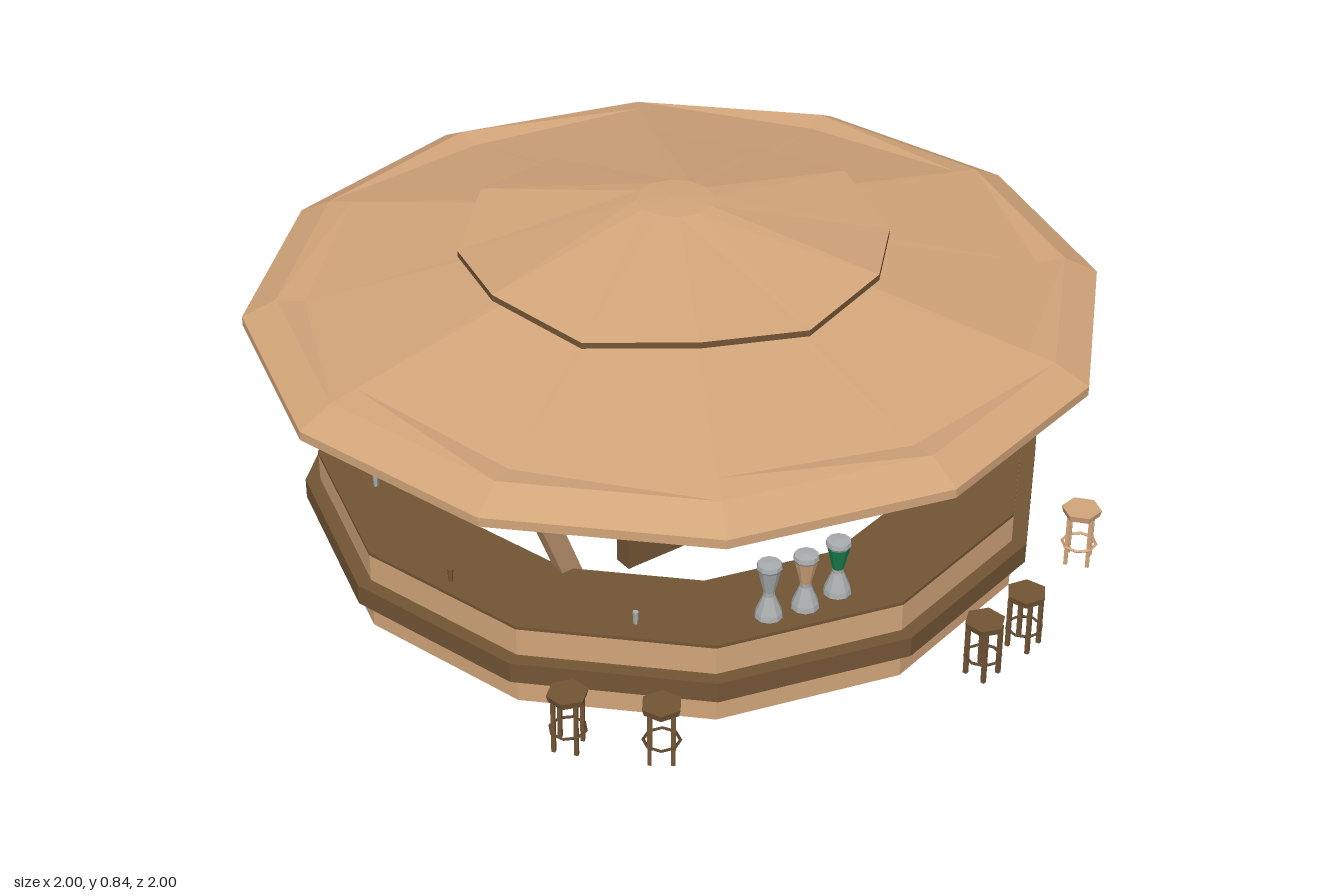
import * as THREE from 'three';

export function createModel() {
  const model = new THREE.Group();
  const mat = (name, color) => {
    const m = new THREE.MeshStandardMaterial({ color, flatShading: true });
    m.name = name;
    return m;
  };
  const tan = mat('tan wood', 0xd2a57a);
  const brown = mat('brown wood', 0x735535);
  const dark = mat('dark wood', 0x5c452c);
  const grey = mat('grey metal', 0xa9adad);
  const green = mat('green glass', 0x17804e);
  const white = mat('pale glass', 0xd8d6cc);

  const add = (name, geo, material, x = 0, y = 0, z = 0, parent = model) => {
    const m = new THREE.Mesh(geo, material);
    m.name = name;
    m.position.set(x, y, z);
    parent.add(m);
    return m;
  };
  const box = (w, h, d) => new THREE.BoxGeometry(w, h, d);
  const lathe = (pts, n) => new THREE.LatheGeometry(pts.map(p => new THREE.Vector2(...p)), n);

  // Beam between two points
  const beam = (name, a, b, w, material) => {
    const dir = b.clone().sub(a);
    const m = add(name, box(w, dir.length(), w), material);
    m.position.copy(a).add(b).multiplyScalar(0.5);
    m.quaternion.setFromUnitVectors(new THREE.Vector3(0, 1, 0), dir.normalize());
  };

  // Twelve-sided ring, open at the back; "over" pushes both ends out
  const openRing = (r0, r1, y0, y1, over = 0) => {
    const outer = [], inner = [];
    for (let i = 0; i <= 10; i++) {
      const a = THREE.MathUtils.degToRad(-60 + i * 30);
      const push = i === 0 ? -over : i === 10 ? over : 0;
      const at = r => new THREE.Vector2(r * Math.cos(a) - push * Math.sin(a), -(r * Math.sin(a) + push * Math.cos(a)));
      outer.push(at(r1));
      inner.unshift(at(r0));
    }
    const g = new THREE.ExtrudeGeometry(new THREE.Shape([...outer, ...inner]), { depth: y1 - y0, bevelEnabled: false });
    return g.rotateX(-Math.PI / 2).translate(0, y0, 0);
  };

  // Twelve-sided roof shell; a third value in a profile point lifts every other corner
  const roofShell = pts => {
    const g = lathe(pts.map(([r, y]) => [r, y]), 12), p = g.attributes.position;
    for (let i = 0; i < p.count; i++) {
      const side = Math.floor(i / pts.length), lift = pts[i % pts.length][2] || 0;
      if (side % 2 === 1) p.setY(i, p.getY(i) + lift);
    }
    return g;
  };
  add('mainRoof', roofShell([[1, 0.56], [1, 0.582], [0.92, 0.624], [0.855, 0.614, 0.024], [0.08, 0.8]]), tan);
  add('roofUnderside', roofShell([[0.05, 0.71], [1, 0.56]]), tan);
  add('roofCap', roofShell([[0.5, 0.726, 0.025], [0.09, 0.835], [0, 0.839]]), tan);
  add('roofCapEave', roofShell([[0.1, 0.8], [0.5, 0.711, 0.025], [0.5, 0.726, 0.025]]), brown);

  // Central column and leaning posts
  add('column', new THREE.CylinderGeometry(0.08, 0.08, 0.83, 16), tan, 0, 0.415, 0);
  for (const sx of [-1, 1]) for (const sz of [-1, 1]) {
    beam('roofPost', new THREE.Vector3(sx * 0.43, 0.015, sz * 0.245),
      new THREE.Vector3(sx * 0.705, 0.6, sz * 0.41), 0.046, tan);
  }

  // Hollow bar counter: outer wall, band, inner wall and top
  add('counterOuterWall', openRing(0.835, 0.85, 0, 0.196), tan);
  add('counterTop', openRing(0.612, 0.851, 0.194, 0.202), brown);
  add('counterInnerWall', openRing(0.612, 0.618, 0, 0.194), brown);
  add('counterInnerLining', openRing(0.618, 0.624, 0, 0.194), tan);
  add('counterBand', openRing(0.82, 0.885, 0.075, 0.125, 0.014), brown);
  for (const s of [-1, 1]) {
    const a = Math.PI / 3;
    for (const [name, w, h, d, r] of [['counterEnd', 0.238, 0.194, 0.008, 0.731], ['counterEndBand', 0.25, 0.05, 0.028, 0.755]]) {
      add(name, box(w, h, d), brown, s * r * Math.cos(a), 0.1, -r * Math.sin(a)).rotation.y = s * a;
    }
  }

  // Bottle shelf in front of the column
  const shelf = new THREE.Group();
  shelf.name = 'bottleShelf';
  model.add(shelf);
  add('shelfBack', box(0.56, 0.43, 0.012), brown, 0.025, 0.215, 0.124, shelf);
  add('shelfBase', box(0.56, 0.2, 0.04), brown, 0.025, 0.1, 0.145, shelf);
  for (const x of [-0.25, 0.3]) add('shelfSide', box(0.01, 0.43, 0.048), brown, x, 0.215, 0.142, shelf);
  for (const y of [0.2, 0.31, 0.427]) add('shelfBoard', box(0.56, 0.008, 0.048), brown, 0.025, y, 0.142, shelf);
  const bottle = lathe([[0, 0], [0.007, 0], [0.007, 0.034], [0.003, 0.042], [0.003, 0.056], [0, 0.056]], 6);
  const glassMats = [green, white, green, tan, green, grey, white];
  for (let row = 0; row < 2; row++) for (let i = 0; i < 21; i++) {
    add('bottle', bottle, glassMats[(i * 3 + row * 2) % 7], -0.235 + i * 0.026, row ? 0.314 : 0.204, 0.156, shelf);
  }

  // Waisted drink dispensers on the counter
  const lower = lathe([[0, 0], [0.032, 0], [0.03, 0.012], [0.013, 0.055], [0.013, 0.065]], 10);
  const upper = lathe([[0.013, 0.065], [0.026, 0.122], [0.026, 0.13]], 10);
  const lid = lathe([[0.026, 0.122], [0.029, 0.128], [0.027, 0.138], [0, 0.141]], 10);
  [[-0.268, 0.715, grey], [-0.183, 0.735, tan], [-0.093, 0.735, green]].forEach(([x, z, m]) => {
    const d = new THREE.Group();
    d.name = 'drinkDispenser';
    d.position.set(x, 0.202, z);
    model.add(d);
    add('dispenserFoot', lower, grey, 0, 0, 0, d);
    add('dispenserBowl', upper, m, 0, 0, 0, d);
    add('dispenserLid', lid, grey, 0, 0, 0, d);
  });

  // Small glasses along the counter
  const cup = new THREE.CylinderGeometry(0.007, 0.005, 0.032, 6);
  [[-0.76, 0.2], [-0.52, 0.57], [0.58, 0.52], [0.66, 0.24], [0.76, -0.14], [-0.7, -0.22]].forEach(([x, z], i) => {
    add('smallGlass', cup, i % 2 ? grey : brown, x, 0.218, z);
  });

  // Stools
  const seat = new THREE.CylinderGeometry(0.047, 0.043, 0.016, 6);
  const leg = box(0.009, 0.13, 0.009);
  const footRing = new THREE.TorusGeometry(0.04, 0.004, 4, 8).rotateX(Math.PI / 2);
  [[-0.735, 0.62], [-0.595, 0.77], [0.155, 0.95], [0.3, 0.925], [0.625, 0.755]].forEach(([x, z], i) => {
    const s = new THREE.Group();
    s.name = 'stool';
    s.position.set(x, 0, z);
    s.rotation.y = Math.atan2(x, z);
    model.add(s);
    const wood = i === 4 ? tan : brown;
    add('stoolSeat', seat, wood, 0, 0.137, 0, s);
    add('stoolFootRing', footRing, i === 4 ? tan : dark, 0, 0.048, 0, s);
    for (let k = 0; k < 4; k++) {
      const a = Math.PI / 4 + k * Math.PI / 2;
      add('stoolLeg', leg, wood, 0.036 * Math.cos(a), 0.065, 0.036 * Math.sin(a), s);
    }
  });
  return model;
}
